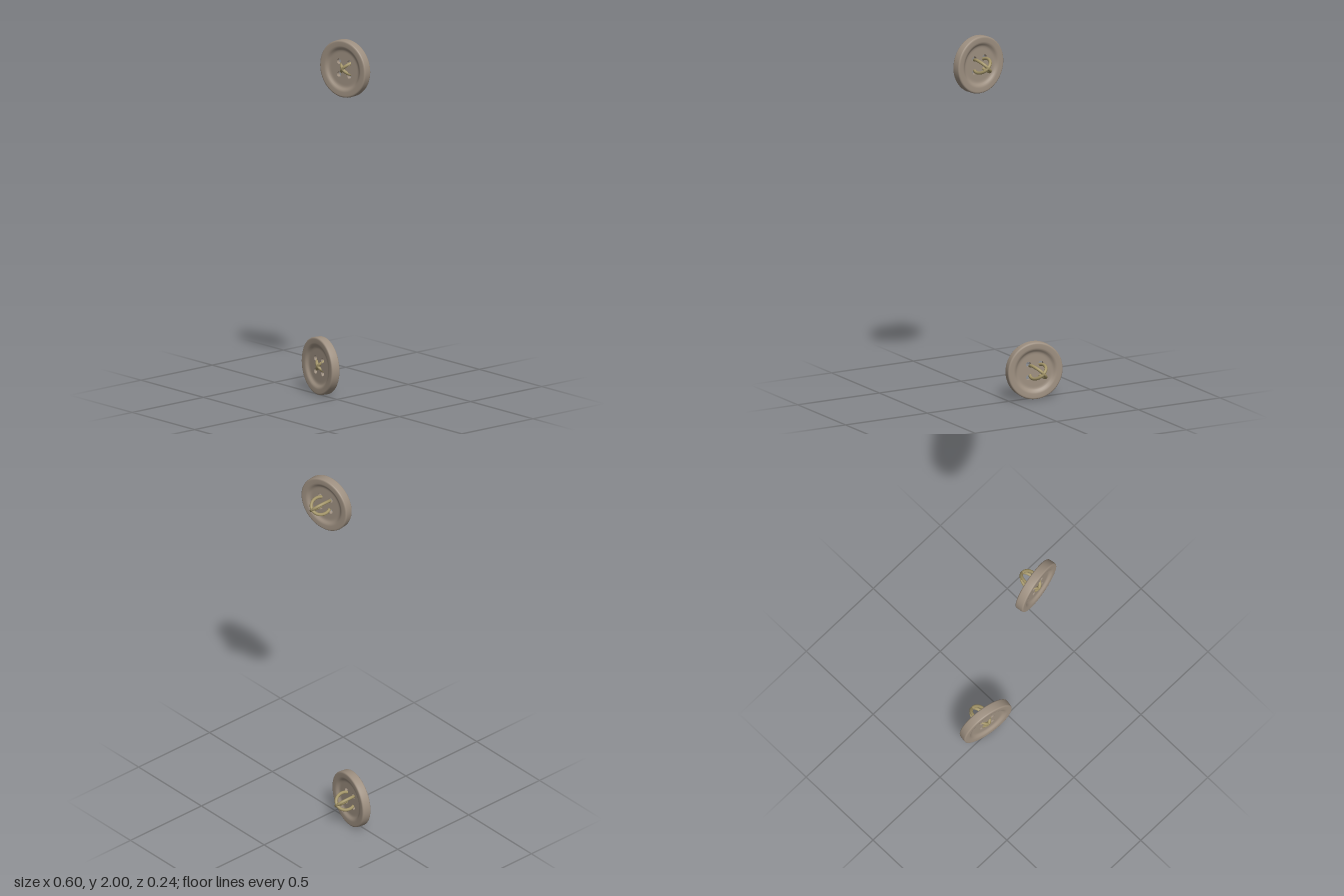
import * as THREE from 'three';

const buttonMat = new THREE.MeshStandardMaterial({ color: 0x9e9081 });
const threadMat = new THREE.MeshStandardMaterial({ color: 0xa29468 });

const HOLE = 0.035;    // hole offset along x and y
const WEB = 0.01;      // half thickness of the sunken centre
const WEB_R = 0.085;

// Thick rounded rim that dips smoothly to the sunken centre, same front and back
function rimGeometry() {
  const half = [
    [0.155, 0], [0.155, 0.017], [0.1535, 0.0215], [0.15, 0.0242], [0.145, 0.025],
    [0.125, 0.0245], [0.117, 0.0225], [0.111, 0.0185], [0.105, 0.0135],
    [0.099, 0.011], [0.092, WEB], [WEB_R, WEB],
  ];
  const back = half.slice(1).reverse().map(([r, z]) => [r, -z]);
  const profile = [...back, ...half].map(([r, z]) => new THREE.Vector2(r, z));
  return new THREE.LatheGeometry(profile, 72).rotateX(Math.PI / 2);
}

// Sunken centre with four sewing holes
function webGeometry() {
  const shape = new THREE.Shape().absarc(0, 0, WEB_R, 0, Math.PI * 2, false);
  for (const sx of [-1, 1]) for (const sy of [-1, 1]) {
    shape.holes.push(new THREE.Path().absarc(sx * HOLE, sy * HOLE, 0.014, 0, Math.PI * 2, true));
  }
  return new THREE.ExtrudeGeometry(shape, { depth: WEB * 2, bevelEnabled: false, curveSegments: 36 })
    .translate(0, 0, -WEB);
}

// Closed oval loop through two opposite holes, reaching far out at the back
function threadGeometry(side) {
  const pts = [];
  for (let i = 0; i < 32; i++) {
    const a = (i / 32) * Math.PI * 2;
    const d = 0.0335 * Math.cos(a);
    pts.push(new THREE.Vector3(d, d * side, -0.041 + 0.0605 * Math.sin(a)));
  }
  return new THREE.TubeGeometry(new THREE.CatmullRomCurve3(pts, true), 64, 0.0085, 12, true);
}

function makeButton(name, x, y, z, turn) {
  const button = new THREE.Group();
  button.name = name;
  button.position.set(x, y, z);

  const add = (partName, geometry, material, parent) => {
    const mesh = new THREE.Mesh(geometry, material);
    mesh.name = partName;
    parent.add(mesh);
  };

  // Only the disc is turned, the stitching stays straight
  const disc = new THREE.Group();
  disc.name = 'disc';
  disc.rotation.y = turn;
  add('rim', rimGeometry(), buttonMat, disc);
  add('centre', webGeometry(), buttonMat, disc);
  button.add(disc);

  add('threadRising', threadGeometry(1), threadMat, button);
  add('threadFalling', threadGeometry(-1), threadMat, button);
  return button;
}

export function createModel() {
  const model = new THREE.Group();
  model.name = 'buttonPair';
  model.add(makeButton('upperButton', 0.146, 1.845, 0.07, 0.163));
  model.add(makeButton('lowerButton', -0.146, 0.159, -0.013, -0.163));
  return model;
}
